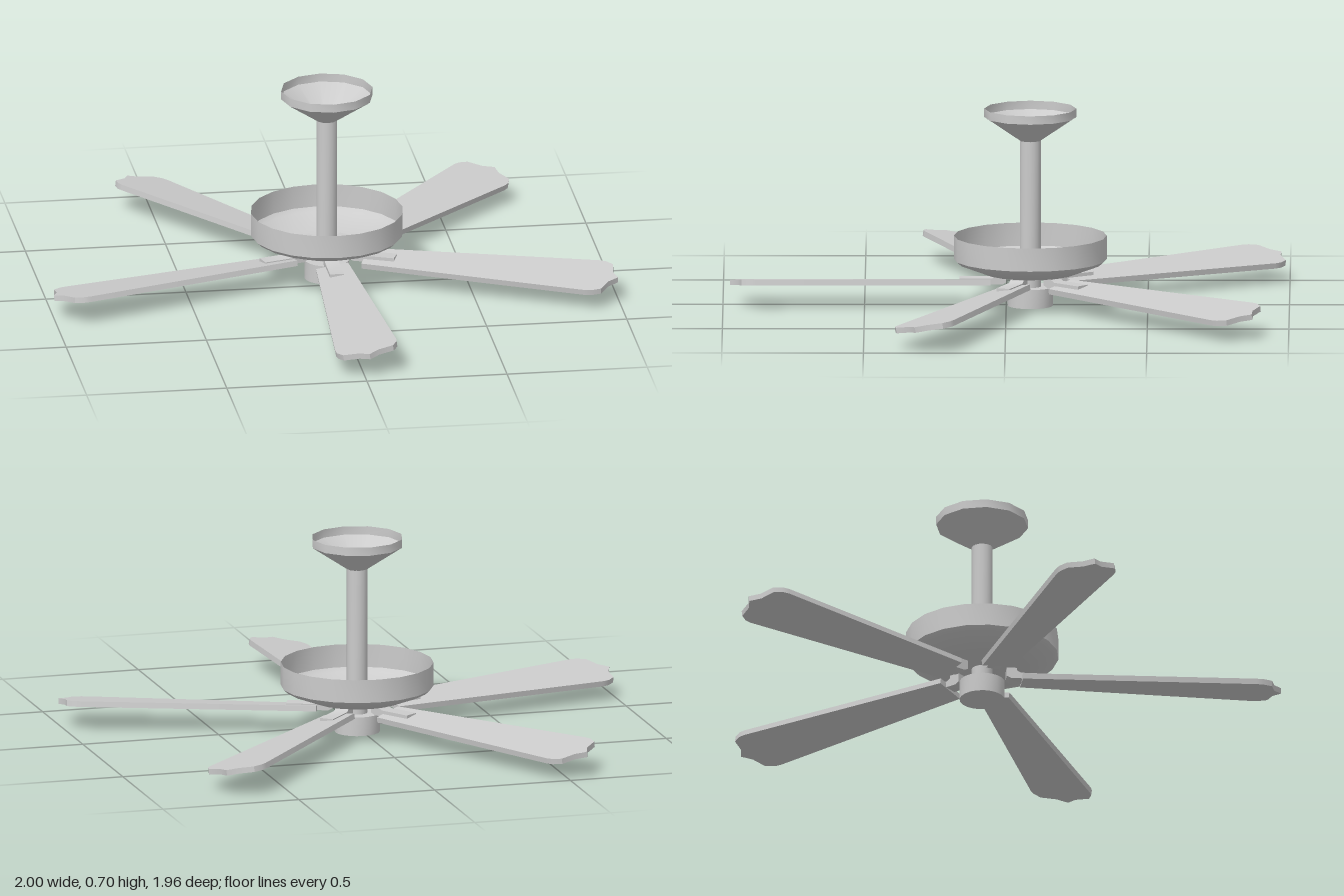
import * as THREE from 'three';
import { toCreasedNormals } from 'three/addons/utils/BufferGeometryUtils.js';

const solid = new THREE.MeshStandardMaterial({ color: 0xcccccc });
const sheet = new THREE.MeshStandardMaterial({ color: 0xcccccc, side: THREE.DoubleSide });

function part(name, geometry, material = solid) {
  const mesh = new THREE.Mesh(toCreasedNormals(geometry, 0.6), material);
  mesh.name = name;
  return mesh;
}

function turned(name, profile, sides) {
  const points = profile.map(([r, y]) => new THREE.Vector2(r, y));
  return part(name, new THREE.LatheGeometry(points, sides), sheet);
}

function shapeOf(points) {
  return new THREE.Shape(points.map(([x, y]) => new THREE.Vector2(x, y)));
}

// Flat tapered blade with a pointed, scalloped tip, running out along +z
function makeBlade() {
  const half = [[0.058, 0.14], [0.11, 0.965], [0.107, 0.99], [0.09, 1.02], [0.035, 1.033]];
  const mirrored = half.map(([x, z]) => [-x, z]).reverse();
  const thickness = 0.02;
  const geometry = new THREE.ExtrudeGeometry(shapeOf([...half, [0, 1.06], ...mirrored]), {
    depth: thickness, bevelEnabled: false,
  });
  geometry.translate(0, 0, -thickness / 2);
  geometry.rotateX(Math.PI / 2);
  const blade = part('blade', geometry);
  blade.position.y = 0.082;
  blade.rotation.z = 0.16; // pitch
  return blade;
}

// Bent bracket: a post under the motor and a foot lying on the blade
function makeBracket() {
  const side = [
    [0.085, 0.124], [0.085, 0.086], [0.1, 0.078], [0.25, 0.078],
    [0.25, 0.1], [0.135, 0.1], [0.122, 0.108], [0.122, 0.124],
  ];
  const width = 0.05;
  const geometry = new THREE.ExtrudeGeometry(shapeOf(side), { depth: width, bevelEnabled: false });
  geometry.translate(0, 0, -width / 2);
  geometry.rotateY(-Math.PI / 2);
  return part('bladeBracket', geometry);
}

export function createModel() {
  const fan = new THREE.Group();
  fan.name = 'ceilingFan';

  // Open ceiling cup
  fan.add(turned('ceilingCanopy', [[0.036, 0.59], [0.163, 0.675], [0.163, 0.705]], 12));

  // Hanging rod
  const rod = part('downRod', new THREE.CylinderGeometry(0.037, 0.037, 0.54, 16));
  rod.position.y = 0.33;
  fan.add(rod);

  // Open motor bowl
  fan.add(turned('motorHousing', [
    [0.03, 0.118], [0.165, 0.118], [0.255, 0.153], [0.27, 0.167], [0.27, 0.25],
  ], 20));

  // Lower hub
  const hub = part('lowerHub', new THREE.CylinderGeometry(0.08, 0.08, 0.068, 20));
  hub.position.y = 0.034;
  fan.add(hub);

  // Blades with their brackets, slightly unevenly spaced
  for (const degrees of [0, 67.7, 137.8, 213.5, 286.5]) {
    const arm = new THREE.Group();
    arm.name = 'bladeAssembly';
    arm.add(makeBlade(), makeBracket());
    arm.rotation.y = THREE.MathUtils.degToRad(degrees);
    fan.add(arm);
  }

  fan.position.set(0.015, 0, -0.085);
  const model = new THREE.Group();
  model.name = 'model';
  model.add(fan);
  return model;
}
